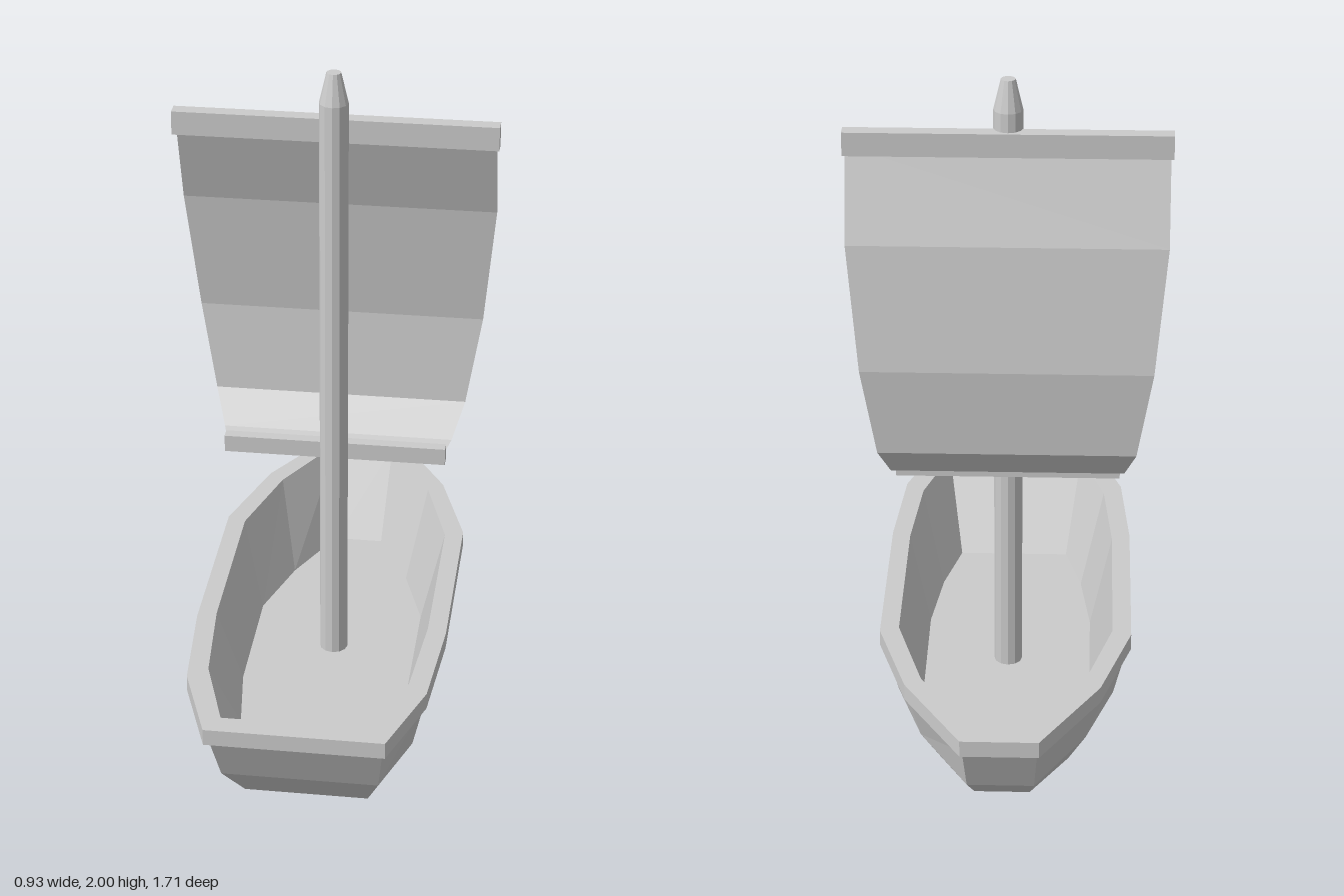
import * as THREE from 'three';

const material = () => new THREE.MeshStandardMaterial({ color: 0xcccccc, flatShading: true });

// Half outline [x, z] from bow to stern at height y; lift raises the last stations.
function ring(y, half, lift = 0) {
  const n = half.length;
  const left = half.map(([x, z], i) => [x, y + lift * Math.max(0, (i - 3) / (n - 4)), z]);
  return [...left, ...left.map(([x, py, z]) => [-x, py, z]).reverse()];
}

// Skin between successive rings, with optional flat caps built in cross strips.
function loft(rings, { bottom = false, top = false } = {}) {
  const n = rings[0].length, pos = [];
  const quad = (a, b, c, d) => pos.push(...a, ...b, ...c, ...a, ...c, ...d);
  for (let r = 0; r < rings.length - 1; r++) {
    for (let i = 0; i < n; i++) {
      const j = (i + 1) % n;
      quad(rings[r][i], rings[r][j], rings[r + 1][j], rings[r + 1][i]);
    }
  }
  const cap = (R, up) => {
    for (let i = 0; i < n / 2 - 1; i++) {
      const q = [R[i], R[i + 1], R[n - 2 - i], R[n - 1 - i]];
      quad(...(up ? q : q.reverse()));
    }
  };
  if (bottom) cap(rings[0], false);
  if (top) cap(rings[rings.length - 1], true);
  const g = new THREE.BufferGeometry();
  g.setAttribute('position', new THREE.Float32BufferAttribute(pos, 3));
  g.computeVertexNormals();
  return g;
}

export function createModel() {
  const boat = new THREE.Group();
  boat.name = 'sailboat';
  const add = (name, geometry, x = 0, y = 0, z = 0, parent = boat) => {
    const m = new THREE.Mesh(geometry, material());
    m.name = name;
    m.position.set(x, y, z);
    parent.add(m);
    return m;
  };

  // Hull outlines, bow to stern
  const keel = ring(0, [[0.18, 0.61], [0.235, 0.435], [0.265, 0.19], [0.265, -0.2], [0.19, -0.41], [0.08, -0.61]], 0.035);
  const bilge = ring(0.15, [[0.225, 0.745], [0.3, 0.53], [0.32, 0.24], [0.32, -0.255], [0.24, -0.5], [0.095, -0.755]], 0.01);
  const sheer = ring(0.32, [[0.245, 0.825], [0.335, 0.58], [0.358, 0.275], [0.358, -0.285], [0.27, -0.56], [0.105, -0.825]]);
  const rimHalf = [[0.255, 0.855], [0.345, 0.6], [0.37, 0.285], [0.37, -0.29], [0.28, -0.575], [0.11, -0.855]];
  const innerHalf = [[0.215, 0.79], [0.29, 0.555], [0.315, 0.265], [0.315, -0.27], [0.235, -0.54], [0.092, -0.797]];
  const floorHalf = [[0.17, 0.615], [0.22, 0.43], [0.25, 0.2], [0.25, -0.2], [0.18, -0.42], [0.075, -0.635]];

  add('hull', loft([keel, bilge, sheer], { bottom: true }));
  add('rim', loft([sheer, ring(0.325, rimHalf), ring(0.375, rimHalf), ring(0.375, innerHalf)]));
  // Inner walls run down from the rim to the deck
  add('interior', loft([ring(0.375, innerHalf), ring(0.11, floorHalf)], { top: true }));

  // Mast with tapered tip
  const mast = new THREE.Group();
  mast.name = 'mast';
  mast.position.z = -0.01;
  boat.add(mast);
  add('mastPole', new THREE.CylinderGeometry(0.042, 0.042, 1.81, 12, 1, true), 0, 1.005, 0, mast);
  add('mastTip', new THREE.CylinderGeometry(0.021, 0.042, 0.09, 12), 0, 1.955, 0, mast);

  // Spars
  add('upperSpar', new THREE.BoxGeometry(0.926, 0.07, 0.043), 0, 1.82, -0.04);
  add('lowerSpar', new THREE.BoxGeometry(0.66, 0.052, 0.034), 0, 0.794, -0.037);

  // Billowing sail: rows of [half width, y, z]
  const rows = [[0.455, 1.81, -0.045], [0.455, 1.545, -0.135], [0.42, 1.175, -0.185],
    [0.375, 0.905, -0.168], [0.342, 0.81, -0.1], [0.325, 0.795, -0.04]];
  const sail = new THREE.PlaneGeometry(2, 1, 1, rows.length - 1);
  const p = sail.attributes.position;
  for (let i = 0; i < p.count; i++) {
    const [w, y, z] = rows[Math.floor(i / 2)];
    p.setXYZ(i, p.getX(i) * w, y, z);
  }
  sail.computeVertexNormals();
  add('sail', sail).material.side = THREE.DoubleSide;

  return boat;
}
